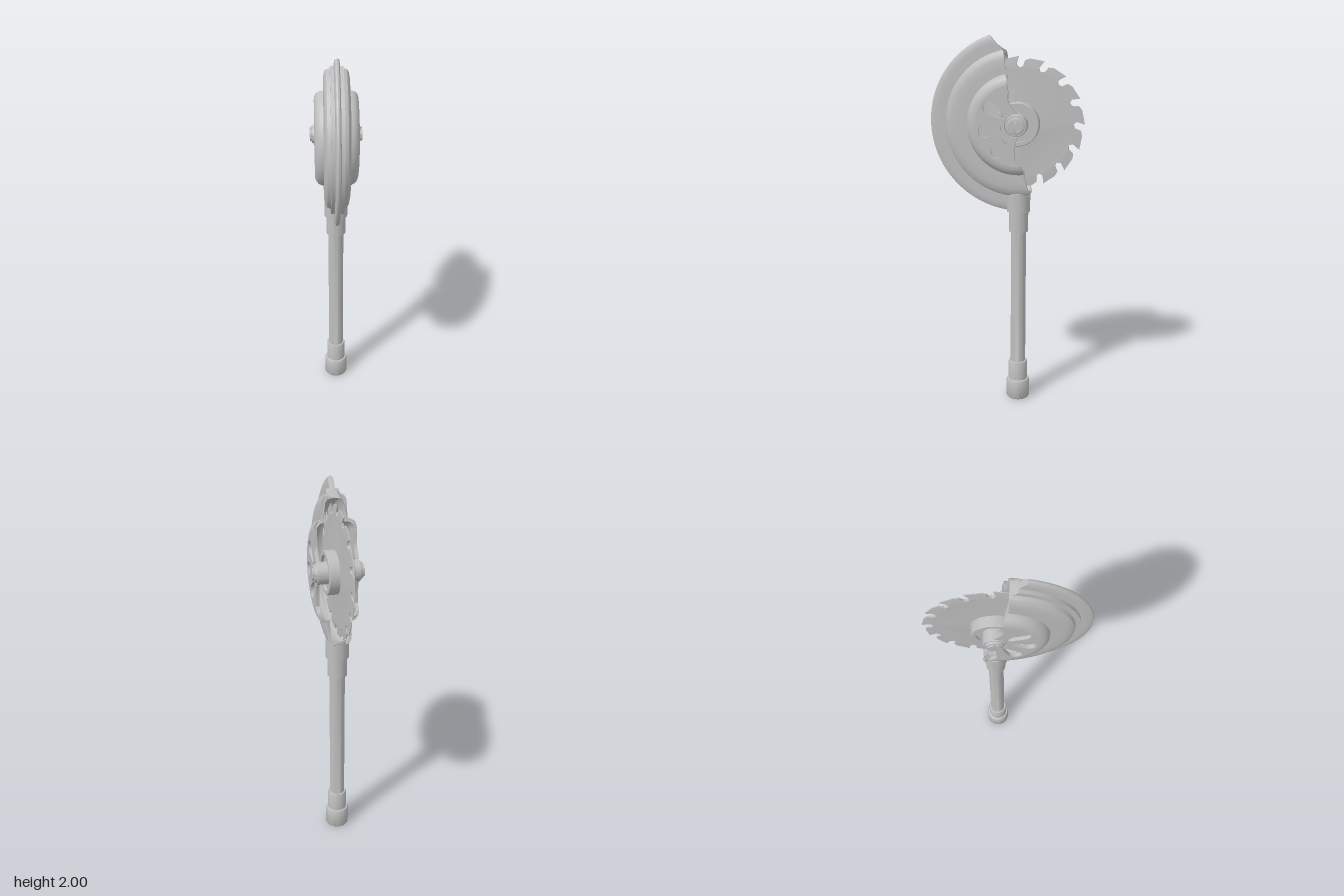
import * as THREE from 'three';
import { toCreasedNormals } from 'three/addons/utils/BufferGeometryUtils.js';

const steel = new THREE.MeshStandardMaterial({ color: 0xbebebe });
steel.name = 'steel';
const rad = THREE.MathUtils.degToRad;
const polar = (r, deg) => new THREE.Vector2(r * Math.cos(rad(deg)), r * Math.sin(rad(deg)));
const SWEEP = 80;

function part(name, geometry, crease = 0.6) {
  const mesh = new THREE.Mesh(toCreasedNormals(geometry, crease), steel);
  mesh.name = name;
  return mesh;
}

function lathe(name, pts) {
  return part(name, new THREE.LatheGeometry(pts.map(p => new THREE.Vector2(...p)), 64));
}

// Torn edges of the guard: [radius, angle in degrees], front is 0, up is 90
const TOP = [[0, 95], [0.06, 95], [0.1, 76], [0.134, 72], [0.18, 77], [0.21, 77], [0.24, 78.5], [0.27, 76.5],
  [0.3, 77], [0.347, 79], [0.375, 78.5], [0.39, 76], [0.407, 74.5], [0.415, 73.5], [0.467, 71]];
const BOTTOM = [[0, -95], [0.06, -95], [0.1, -87], [0.18, -88], [0.21, -96], [0.24, -99], [0.27, -97],
  [0.317, -98.7], [0.383, -100], [0.405, -92], [0.42, -85], [0.467, -85]];

function edgeAngle(table, r) {
  for (let i = 1; i < table.length; i++) {
    const [r0, a0] = table[i - 1], [r1, a1] = table[i];
    if (r <= r1) return a0 + (a1 - a0) * (r - r0) / (r1 - r0);
  }
  return table[table.length - 1][1];
}

// Hollow stepped shell, swept about the axle between the torn edges
function shellGeometry() {
  const outer = [[0.21, 0.11], [0.225, 0.108], [0.24, 0.102], [0.252, 0.091], [0.259, 0.078], [0.262, 0.065],
    [0.3, 0.065], [0.335, 0.064], [0.36, 0.059], [0.374, 0.05], [0.381, 0.033], [0.39, 0.033], [0.407, 0.033],
    [0.407, 0.014], [0.43, 0.014], [0.457, 0.013], [0.466, 0.008], [0.469, 0]];
  const inner = [[0.21, 0.092], [0.225, 0.09], [0.238, 0.08], [0.244, 0.065], [0.245, 0.047], [0.3, 0.047],
    [0.34, 0.045], [0.355, 0.035], [0.36, 0.016], [0.362, 0]];
  const mirror = list => list.slice(0, -1).reverse().map(([r, z]) => [r, -z]);
  const innerLoop = [...inner, ...mirror(inner)].reverse();
  const loop = [...outer, ...mirror(outer), ...innerLoop];
  const n = loop.length, pos = [], idx = [];
  for (let j = 0; j <= SWEEP; j++) {
    for (const [r, z] of loop) {
      const p = polar(r, THREE.MathUtils.lerp(edgeAngle(BOTTOM, r), edgeAngle(TOP, r), j / SWEEP));
      pos.push(p.x, p.y, z);
    }
  }
  for (let j = 0; j < SWEEP; j++) {
    for (let i = 0; i < n; i++) {
      const a = j * n + i, b = j * n + (i + 1) % n, c = b + n, d = a + n;
      idx.push(a, b, c, a, c, d);
    }
  }
  const caps = THREE.ShapeUtils.triangulateShape(loop.map(p => new THREE.Vector2(...p)), []);
  const last = SWEEP * n;
  for (const [a, b, c] of caps) idx.push(a, b, c, last + a, last + c, last + b);
  const g = new THREE.BufferGeometry();
  g.setAttribute('position', new THREE.Float32BufferAttribute(pos, 3));
  g.setIndex(idx);
  return g;
}

// Flat guard cheek with three teardrop vents
function cheekGeometry() {
  const pts = [];
  const R = 0.21, r = 0.06, b = edgeAngle(BOTTOM, R), t = edgeAngle(TOP, R);
  for (let i = 0; i <= SWEEP; i++) pts.push(polar(R, b + (t - b) * i / SWEEP));
  for (const q of [0.18, 0.134, 0.1]) pts.push(polar(q, edgeAngle(TOP, q)));
  for (let i = 0; i <= 16; i++) pts.push(polar(r, 95 - 190 * i / 16));
  for (const q of [0.1, 0.14, 0.18]) pts.push(polar(q, edgeAngle(BOTTOM, q)));
  const shape = new THREE.Shape(pts);
  for (const angle of [34, -10, -54]) {
    const hole = [];
    for (let i = 0; i <= 12; i++) hole.push(new THREE.Vector2(0.163, 0).add(polar(0.035, -100 + 200 * i / 12)));
    for (let i = 0; i <= 6; i++) hole.push(new THREE.Vector2(0.083, 0).add(polar(0.012, 100 + 160 * i / 6)));
    hole.forEach(p => p.rotateAround(new THREE.Vector2(), rad(angle)));
    shape.holes.push(new THREE.Path(hole));
  }
  return new THREE.ExtrudeGeometry(shape, { depth: 0.018, bevelEnabled: false });
}

// Toothed disc, thinning towards the rim
function bladeGeometry() {
  const tooth = [[0.3, -2.5], [0.286, -0.5], [0.285, 1.5], [0.292, 4], [0.322, 5.5], [0.333, 10], [0.341, 22.5]];
  const pts = [];
  for (let k = 0; k < 16; k++) for (const [r, a] of tooth) pts.push(polar(r, k * 22.5 + a));
  const shape = new THREE.Shape(pts);
  shape.holes.push(new THREE.Path().absarc(0, 0, 0.09, 0, Math.PI * 2, true));
  const g = new THREE.ExtrudeGeometry(shape, { depth: 1, bevelEnabled: false, curveSegments: 24 });
  const p = g.attributes.position;
  for (let i = 0; i < p.count; i++) {
    const r = Math.hypot(p.getX(i), p.getY(i));
    const half = 0.0015 + 0.0105 * (1 - (r / 0.342) ** 3);
    p.setZ(i, p.getZ(i) > 0.5 ? half : -half);
  }
  return g;
}

export function createModel() {
  const model = new THREE.Group();
  model.name = 'sawBladeMace';

  // Handle with stepped collars at both ends
  const handle = lathe('handle', [[0, 0], [0.06, 0], [0.064, 0.006], [0.064, 0.1], [0.06, 0.11], [0.052, 0.112],
    [0.052, 0.215], [0.049, 0.222], [0.041, 0.222], [0.041, 0.98], [0.052, 0.98], [0.052, 1.09],
    [0.062, 1.09], [0.062, 1.195], [0, 1.195]]);
  handle.position.z = -0.066;
  model.add(handle);

  // Head, built in the blade plane
  const head = new THREE.Group();
  head.name = 'sawHead';
  head.position.set(0, 1.56, -0.066);
  head.rotation.y = -Math.PI / 2;
  model.add(head);

  head.add(part('guardShell', shellGeometry()));
  head.add(part('sawBlade', bladeGeometry(), 0.3));

  // Hub: wide drum with recessed faces and a stepped axle
  const half = [[0.034, 0.125], [0.044, 0.122], [0.046, 0.112], [0.053, 0.112], [0.056, 0.109],
    [0.056, 0.05], [0.09, 0.05], [0.09, 0.065], [0.109, 0.065], [0.112, 0.062]];
  const hub = lathe('hub', [[0, -0.125], ...half.map(([r, y]) => [r, -y]), ...half.slice().reverse(), [0, 0.125]]);
  hub.rotation.x = Math.PI / 2;
  head.add(hub);

  // Cheeks and slotted axle caps on both sides
  for (const side of [1, -1]) {
    const cheek = part(side < 0 ? 'leftCheek' : 'rightCheek', cheekGeometry());
    cheek.position.z = side > 0 ? 0.092 : -0.11;
    head.add(cheek);
    for (const turn of [0, Math.PI]) {
      const a = Math.asin(0.008 / 0.035);
      const shape = new THREE.Shape().absarc(0, 0, 0.035, a - Math.PI / 2, Math.PI / 2 - a, false);
      const cap = part('axleCap', new THREE.ExtrudeGeometry(shape, { depth: 0.01, bevelEnabled: false }));
      cap.rotation.z = turn;
      cap.position.z = side > 0 ? 0.123 : -0.133;
      head.add(cap);
    }
  }
  return model;
}
